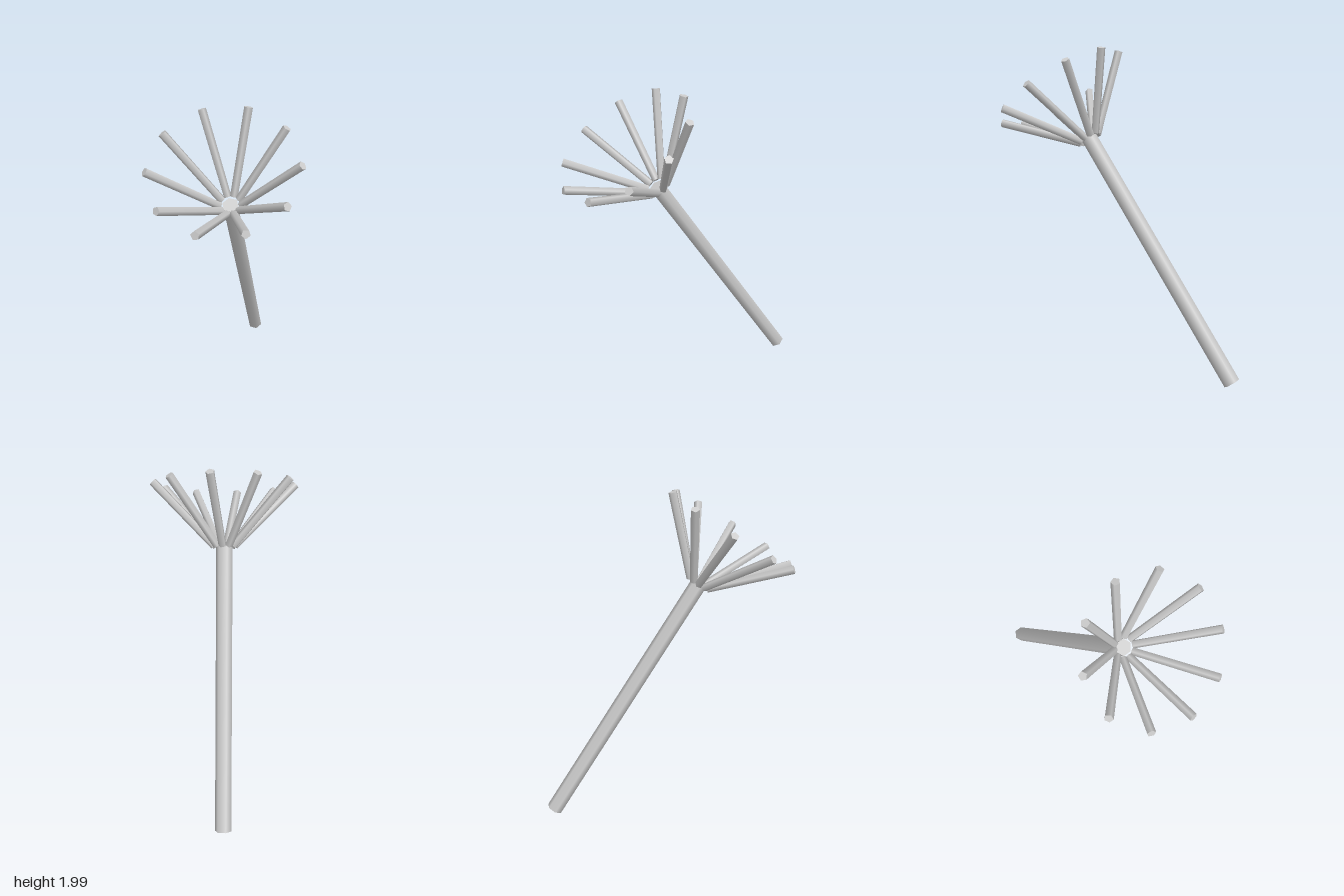
import * as THREE from 'three';

// Capped stick running along +y from the origin
function stick(name, rTop, rBottom, length, sides, material) {
  const geometry = new THREE.CylinderGeometry(rTop, rBottom, length, sides);
  geometry.translate(0, length / 2, 0);
  const mesh = new THREE.Mesh(geometry, material);
  mesh.name = name;
  return mesh;
}

export function createModel() {
  const model = new THREE.Group();
  model.name = 'leaningTree';
  const material = new THREE.MeshStandardMaterial({ color: 0xcccccc });

  // Leaning frame: local y runs up the stem, local x points at the first branch
  const foot = new THREE.Vector3(0.655, 0.027, -0.54);
  const crown = new THREE.Vector3(-0.133, 1.44, 0.04);
  const axis = crown.clone().sub(foot);
  const length = axis.length();
  axis.normalize();
  const side = new THREE.Vector3(0.33, 0.24, -0.14);
  side.addScaledVector(axis, -side.dot(axis)).normalize();
  const across = side.clone().cross(axis);

  const frame = new THREE.Group();
  frame.name = 'leaningFrame';
  frame.quaternion.setFromRotationMatrix(new THREE.Matrix4().makeBasis(side, axis, across));
  frame.position.copy(foot);
  model.add(frame);

  // Stem
  frame.add(stick('stem', 0.05, 0.05, length, 6, material));

  // Ring of branches flaring from the top of the stem
  const count = 10, innerRadius = 0.062, outerRadius = 0.43, rise = 0.375;
  const reach = outerRadius - innerRadius;
  for (let i = 0; i < count; i++) {
    const spoke = new THREE.Group();
    spoke.name = 'branch' + (i + 1);
    spoke.position.y = length;
    spoke.rotation.y = (i / count) * Math.PI * 2;
    const branch = stick('branchStick', 0.026, 0.024, Math.hypot(reach, rise), 5, material);
    branch.position.x = innerRadius;
    branch.rotation.z = -Math.atan2(reach, rise);
    spoke.add(branch);
    frame.add(spoke);
  }
  return model;
}
